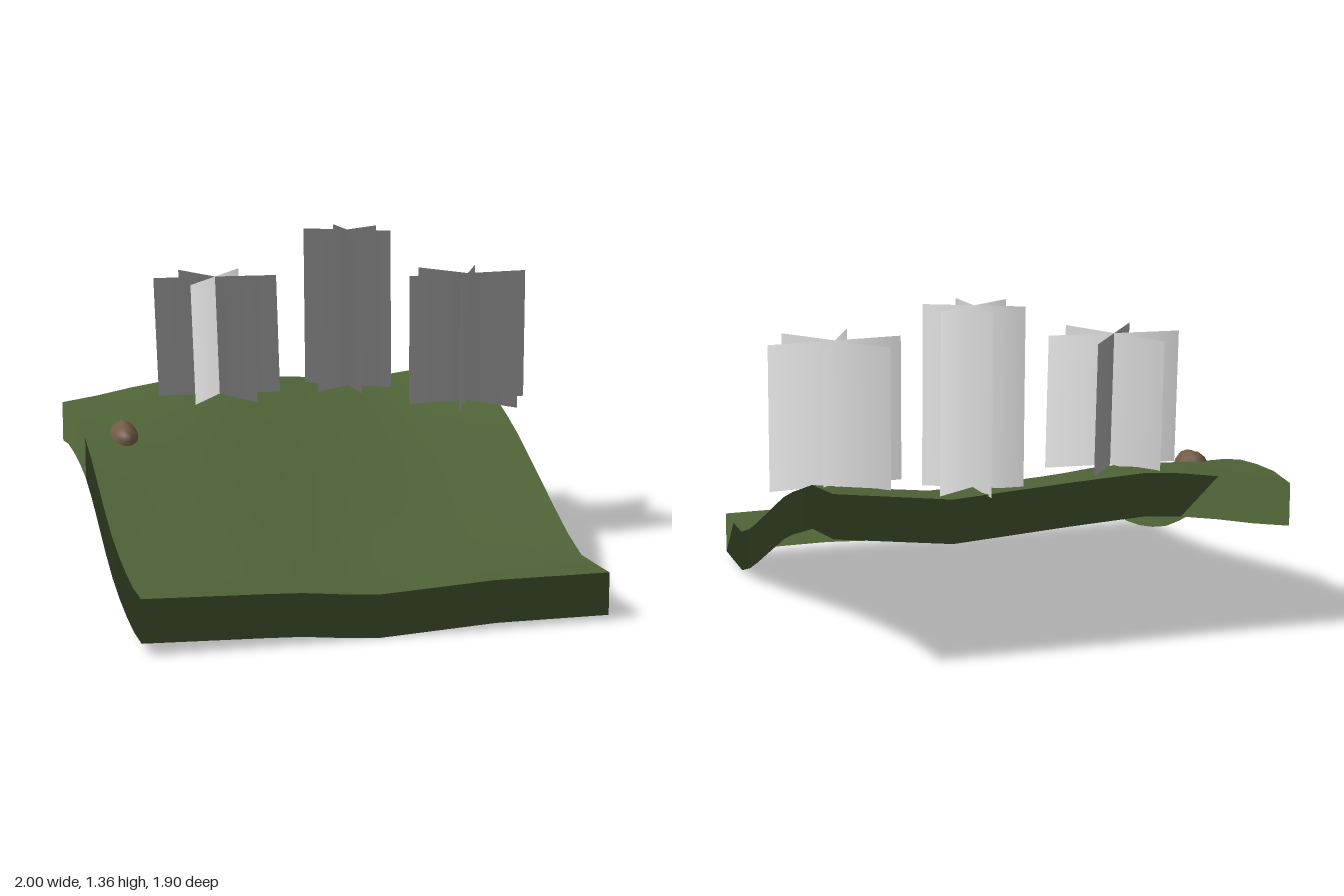
import * as THREE from 'three';

const green = new THREE.MeshStandardMaterial({ color: 0x4f6337, side: THREE.DoubleSide });
green.name = 'grassGreen';
const grey = new THREE.MeshStandardMaterial({ color: 0xc4c4c4, side: THREE.DoubleSide });
grey.name = 'paleGrey';
const brown = new THREE.MeshStandardMaterial({ color: 0x705a45 });
brown.name = 'boulderBrown';

// Piecewise linear lookup in a list of [position, height] points
function sample(points, t) {
  for (let i = 1; i < points.length; i++) {
    const [a, ha] = points[i - 1], [b, hb] = points[i];
    if (t <= b || i === points.length - 1) return ha + (hb - ha) * (t - a) / (b - a);
  }
}

// Height profiles along the four edges of the hillside
const X0 = -1, X1 = 0.865, Z0 = -0.92, Z1 = 0.945;
const rightEdge = [[Z0, 0.715], [-0.61, 0.68], [-0.2, 0.55], [0.45, 0.25], [0.64, 0.19], [Z1, 0.2]];
const leftEdge = [[Z0, 0.617], [-0.72, 0.638], [-0.37, 0.605], [-0.2, 0.553], [0.27, 0.33], [0.53, 0.26], [0.75, 0.228], [Z1, 0.23]];
const backEdge = [[X0, 0.617], [-0.84, 0.64], [-0.6, 0.685], [-0.4, 0.705], [-0.1, 0.69], [0.4, 0.658], [X1, 0.715]];
const frontEdge = [[X0, 0.23], [-0.4, 0.21], [-0.1, 0.178], [0.4, 0.203], [X1, 0.2]];

// Blend the four edges into one surface, with a shallow hollow in the middle
function height(x, z) {
  const u = (x - X0) / (X1 - X0), v = (z - Z0) / (Z1 - Z0);
  const mix = THREE.MathUtils.lerp;
  const sides = mix(sample(leftEdge, z), sample(rightEdge, z), u);
  const ends = mix(sample(backEdge, x), sample(frontEdge, x), v);
  const corners = mix(mix(0.617, 0.715, u), mix(0.23, 0.2, u), v);
  const hollow = 0.04 * 16 * u * (1 - u) * v * (1 - v);
  return sides + ends - corners - hollow;
}

// Open-bottomed hillside: smooth top and a hanging rim that shares its normals
function createHillside() {
  const n = 12, drop = 0.173;
  const top = new THREE.PlaneGeometry(X1 - X0, Z1 - Z0, n, n).rotateX(-Math.PI / 2);
  top.translate((X0 + X1) / 2, 0, (Z0 + Z1) / 2);
  const p = top.attributes.position;
  for (let i = 0; i < p.count; i++) p.setY(i, height(p.getX(i), p.getZ(i)));
  top.computeVertexNormals();

  const ring = [], w = n + 1;
  for (let i = 0; i < n; i++) ring.push(i);
  for (let i = 0; i < n; i++) ring.push(i * w + n);
  for (let i = n; i > 0; i--) ring.push(n * w + i);
  for (let i = n; i > 0; i--) ring.push(i * w);

  const pos = [], nor = [], idx = [], q = top.attributes.normal;
  ring.forEach((v, k) => {
    for (const d of [0, drop]) {
      pos.push(p.getX(v), p.getY(v) - d, p.getZ(v));
      nor.push(q.getX(v), q.getY(v), q.getZ(v));
    }
    const a = 2 * k, b = 2 * ((k + 1) % ring.length);
    idx.push(a, b, b + 1, a, b + 1, a + 1);
  });
  const rim = new THREE.BufferGeometry();
  rim.setAttribute('position', new THREE.Float32BufferAttribute(pos, 3));
  rim.setAttribute('normal', new THREE.Float32BufferAttribute(nor, 3));
  rim.setIndex(idx);

  const group = new THREE.Group();
  group.name = 'hillside';
  const topMesh = new THREE.Mesh(top, green);
  topMesh.name = 'hillTop';
  const rimMesh = new THREE.Mesh(rim, green);
  rimMesh.name = 'hillRim';
  group.add(topMesh, rimMesh);
  return group;
}

// Three crossed upright panels, leaning by (leanX, leanZ) at the top
function createTree({ name, x, y, z, radius, tall, turn, leanX, leanZ }) {
  const tree = new THREE.Group();
  tree.name = name;
  tree.position.set(x, y, z);
  const normal = new THREE.Vector3();
  for (let i = 0; i < 3; i++) {
    const panel = new THREE.PlaneGeometry(radius * 2, tall, 2, 1);
    panel.translate(0, tall / 2, 0);
    panel.rotateY(-THREE.MathUtils.degToRad(turn + i * 60));
    // Foliage normals point up and a little outward
    const p = panel.attributes.position;
    for (let k = 0; k < p.count; k++) {
      const px = p.getX(k), pz = p.getZ(k), t = p.getY(k) / tall;
      normal.set(0.5 * px / radius, 1, 0.5 * pz / radius).normalize();
      panel.attributes.normal.setXYZ(k, normal.x, normal.y, normal.z);
      p.setX(k, px + leanX * t);
      p.setZ(k, pz + leanZ * t);
    }
    const mesh = new THREE.Mesh(panel, grey);
    mesh.name = 'treePanel';
    tree.add(mesh);
  }
  return tree;
}

// Egg-shaped boulder, deep at the back, with a narrow raised front
function createBoulder() {
  const g = new THREE.SphereGeometry(1, 10, 8);
  const p = g.attributes.position;
  for (let i = 0; i < p.count; i++) {
    const x = p.getX(i), y = p.getY(i), z = p.getZ(i);
    p.setXYZ(i, x * 0.07 * (1 - 0.25 * z), y * 0.1 * (1 - 0.35 * z) + 0.045 * Math.max(0, z), z * 0.105);
  }
  g.computeVertexNormals();
  const boulder = new THREE.Mesh(g, brown);
  boulder.name = 'boulder';
  boulder.position.set(-0.83, 0.535, -0.325);
  return boulder;
}

export function createModel() {
  const model = new THREE.Group();
  model.name = 'hillsideWithTrees';
  model.add(
    createHillside(),
    createBoulder(),
    createTree({ name: 'rightTree', x: -0.35, y: 0.678, z: -0.63, radius: 0.267, tall: 0.522, turn: 5, leanX: -0.023, leanZ: 0.03 }),
    createTree({ name: 'tallTree', x: 0.267, y: 0.66, z: -0.757, radius: 0.197, tall: 0.705, turn: 27, leanX: -0.008, leanZ: 0.006 }),
    createTree({ name: 'leftTree', x: 0.725, y: 0.63, z: -0.445, radius: 0.274, tall: 0.57, turn: -5, leanX: -0.01, leanZ: 0.03 }),
  );
  return model;
}
